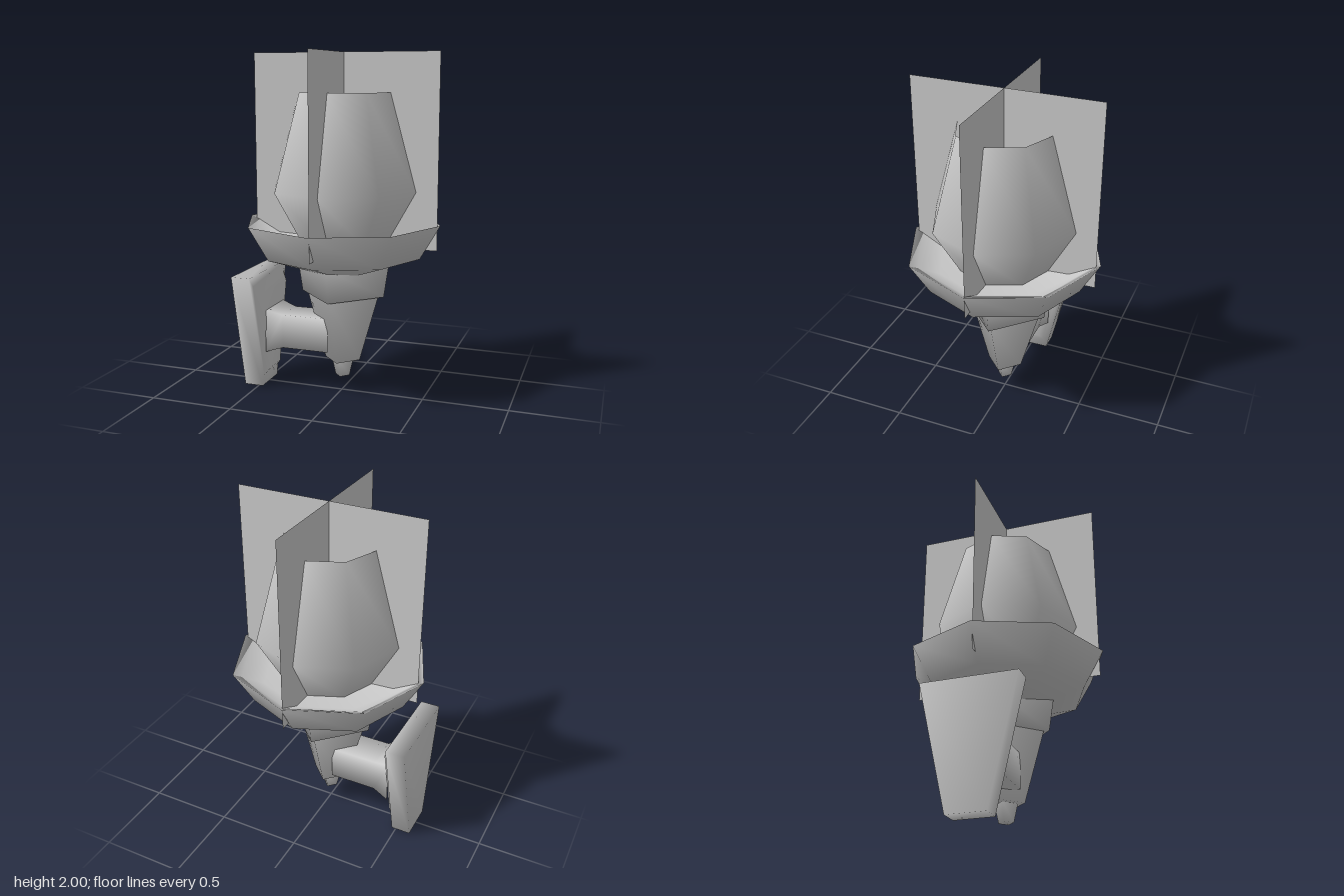
import * as THREE from 'three';

const material = (double = false) => new THREE.MeshStandardMaterial({
  color: 0xcccccc, side: double ? THREE.DoubleSide : THREE.FrontSide,
});

function add(parent, name, geometry, double) {
  const mesh = new THREE.Mesh(geometry, material(double));
  mesh.name = name;
  parent.add(mesh);
  return mesh;
}

// Turned part from [radius, height] pairs, outer side listed from the bottom up
const turned = (points, sides, start = 0) =>
  new THREE.LatheGeometry(points.map(([r, y]) => new THREE.Vector2(r, y)), sides, start);

// Tapered wall plate: trapezoid rings stacked along x
function plateGeometry() {
  const rings = [[-0.59, 0], [-0.475, 0], [-0.473, 0.06], [-0.435, 0.11]]; // x, inset
  const positions = [], index = [];
  for (const [x, inset] of rings) {
    const top = 0.71 - inset, bottom = inset;
    const half = (y) => 0.11 + 0.163 * y / 0.71 - inset * 0.6;
    for (const [y, s] of [[bottom, 1], [bottom, -1], [top, -1], [top, 1]]) {
      positions.push(x, y, s * half(y));
    }
  }
  for (let r = 0; r < rings.length - 1; r++) {
    for (let i = 0; i < 4; i++) {
      const a = r * 4 + i, b = r * 4 + (i + 1) % 4;
      index.push(a, b, b + 4, a, b + 4, a + 4);
    }
  }
  const e = (rings.length - 1) * 4;
  index.push(0, 2, 1, 0, 3, 2, e, e + 1, e + 2, e, e + 2, e + 3);
  const geometry = new THREE.BufferGeometry();
  geometry.setAttribute('position', new THREE.Float32BufferAttribute(positions, 3));
  geometry.setIndex(index);
  geometry.computeVertexNormals();
  return geometry;
}

export function createModel() {
  const model = new THREE.Group();
  model.name = 'wallLamp';

  const body = new THREE.Group();
  body.name = 'lampBody';
  body.position.x = 0.004;
  model.add(body);

  // Four-sided stem, tip and collar, corners on the axes
  add(body, 'stemTip', turned([[0, 0.095], [0.044, 0.095], [0.068, 0.2]], 4));
  add(body, 'stem', turned([[0, 0.198], [0.108, 0.198], [0.222, 0.6]], 4));
  add(body, 'collar', turned([[0, 0.597], [0.254, 0.597], [0.285, 0.8]], 4));

  // Open bowl with a sloping inside
  add(body, 'bowl', turned([
    [0, 0.75], [0.2, 0.75], [0.465, 0.838], [0.581, 1.038],
    [0.53, 1.015], [0.4, 0.945], [0, 0.925],
  ], 8));

  // Burner inside the shade, with a small hole in its top
  add(body, 'burner', turned([
    [0.135, 0.92], [0.03, 1.17], [0.02, 1.17], [0.02, 1.14], [0, 1.14],
  ], 6));

  // Thin glass shade, open at the top
  const shade = add(body, 'shade', turned([
    [0.265, 0.925], [0.43, 1.22], [0.276, 1.775],
  ], 8), true);
  shade.position.x = 0.008;

  // Two crossed upright cards
  for (const turn of [0, Math.PI / 2]) {
    const card = add(body, 'glowCard', new THREE.PlaneGeometry(1.112, 1.108), true);
    card.position.set(0.008, 1.446, 0);
    card.rotation.y = turn;
  }

  // Square arm, flared towards the wall plate
  const corner = Math.SQRT2;
  const arm = add(model, 'arm', turned([
    [0.102 * corner, 0], [0.102 * corner, 0.285], [0.13 * corner, 0.385],
  ], 4, Math.PI / 4));
  arm.rotation.z = Math.PI / 2;
  arm.position.set(-0.055, 0.358, 0);

  add(model, 'wallPlate', plateGeometry());
  return model;
}
